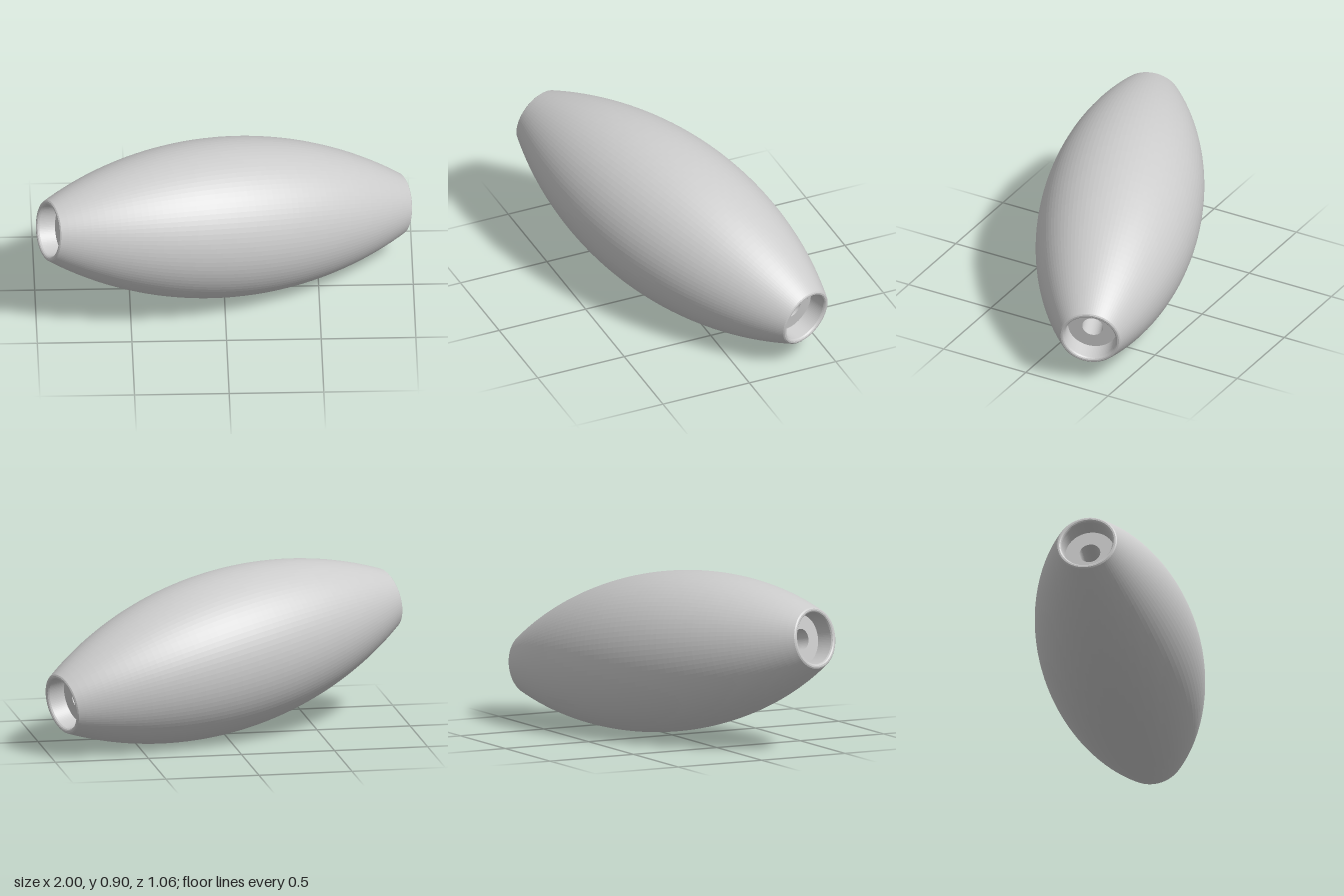
import * as THREE from 'three';

export function createModel() {
  const group = new THREE.Group();
  group.name = 'barrelHandle';
  const material = new THREE.MeshStandardMaterial({ color: 0xcccccc, flatShading: true });

  const half = 1.019, endR = 0.16, midR = 0.425;
  const sag = midR - endR;
  const arcR = (half * half + sag * sag) / (2 * sag);
  const lipStart = half - 0.005;

  // bulging outer wall, a circular arc from end to end
  const profile = [];
  const steps = 56;
  for (let i = 0; i <= steps; i++) {
    const t = -lipStart + (2 * lipStart * i) / steps;
    profile.push(new THREE.Vector2(midR - arcR + Math.sqrt(arcR * arcR - t * t), t));
  }

  // rim lip, recess wall, recess floor and bore, mirrored for the other end
  const socket = [
    [0.156, half], [0.147, half], [0.141, half - 0.004], [0.137, half - 0.012],
    [0.132, half - 0.1], [0.056, half - 0.1],
  ];
  for (const [r, y] of socket) profile.push(new THREE.Vector2(r, y));
  for (const [r, y] of [...socket].reverse()) profile.push(new THREE.Vector2(r, -y));
  profile.push(profile[0].clone());

  const body = new THREE.Mesh(new THREE.LatheGeometry(profile, 96), material);
  body.name = 'barrelBody';

  // lay the axis down, tilted and turned
  const axis = new THREE.Vector3(0.94, -0.17, -0.355).normalize();
  body.quaternion.setFromUnitVectors(new THREE.Vector3(0, 1, 0), axis);
  body.position.y = 0.448;
  group.add(body);
  return group;
}
